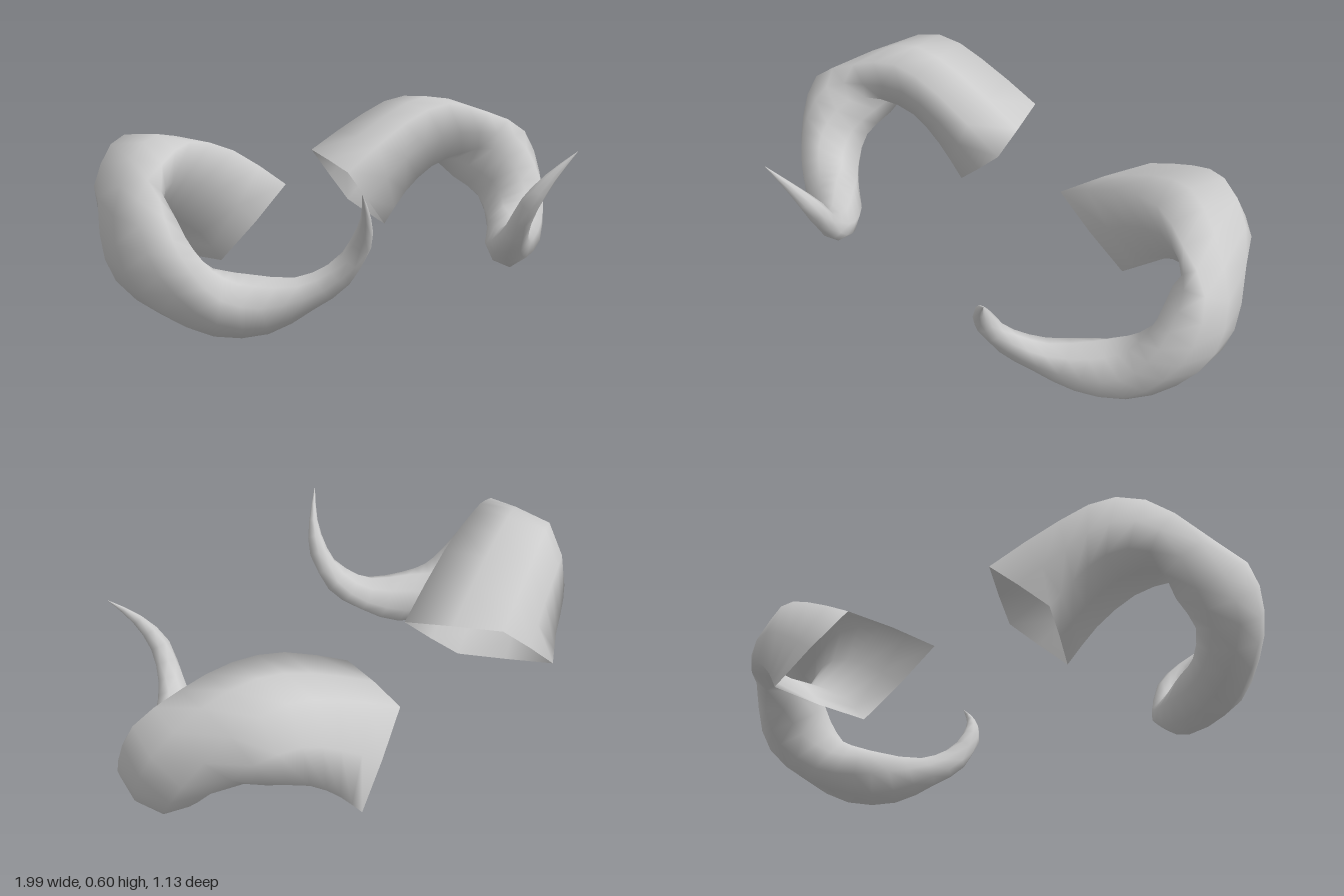
import * as THREE from 'three';

// Sections along the left horn: centre, half width across the coil, half depth out of the bend
const SECTIONS = [
  [[0.348, 0.266, -0.371], [0.065, 0.016, -0.163], [-0.128, 0.12, 0.028]],
  [[0.515, 0.385, -0.335], [0.045, 0, -0.155], [-0.045, 0.145, 0.04]],
  [[0.668, 0.455, -0.30], [0.028, 0, -0.15], [-0.005, 0.138, 0.05]],
  [[0.803, 0.444, -0.225], [0.028, -0.015, -0.148], [0.028, 0.096, 0.052]],
  [[0.875, 0.36, -0.105], [0, -0.085, -0.125], [0.095, 0.035, 0.02]],
  [[0.888, 0.255, -0.015], [-0.01, -0.08, -0.12], [0.1, -0.02, 0]],
  [[0.83, 0.165, 0.065], [-0.04, -0.07, -0.1], [0.08, -0.06, 0]],
  [[0.74, 0.112, 0.135], [-0.06, -0.035, -0.08], [0.04, -0.092, 0.02]],
  [[0.63, 0.10, 0.20], [-0.055, -0.01, -0.07], [-0.02, -0.095, 0.02]],
  [[0.52, 0.13, 0.29], [-0.045, 0, -0.05], [-0.03, -0.055, 0.01]],
  [[0.45, 0.195, 0.375], [-0.03, 0.01, -0.03], [-0.035, -0.035, 0.012]],
  [[0.425, 0.30, 0.447], [0, 0.02, -0.03], [-0.035, 0, 0]],
  [[0.465, 0.40, 0.508], [0, 0.01, -0.016], [-0.016, 0.008, 0]],
  [[0.54, 0.49, 0.565], [0, 0, -0.001], [-0.001, 0, 0]],
];
const SIDES = 8;
const RINGS = 26;

function hornGeometry(side) {
  // Smooth curves through the centres and the two section axes
  const [centres, widths, depths] = [0, 1, 2].map((k) => new THREE.CatmullRomCurve3(
    SECTIONS.map((s) => new THREE.Vector3(...s[k])), false, 'catmullrom'));
  const positions = [];
  const indices = [];

  for (let i = 0; i <= RINGS; i++) {
    const t = i / RINGS;
    const centre = centres.getPoint(t);
    const u = widths.getPoint(t);
    const v = depths.getPoint(t);
    // Square at the root, round from halfway on
    const corner = 1 + 0.41 * (1 - THREE.MathUtils.smoothstep(t, 0, 0.5));
    for (let j = 0; j < SIDES; j++) {
      const a = (j / SIDES) * Math.PI * 2;
      const r = j % 2 ? corner : 1.03;
      const p = centre.clone()
        .addScaledVector(u, Math.cos(a) * r)
        .addScaledVector(v, Math.sin(a) * r);
      positions.push(p.x * side, p.y, p.z);
    }
  }

  // Skin between neighbouring rings; winding is flipped for the mirrored horn
  for (let i = 0; i < RINGS; i++) {
    for (let j = 0; j < SIDES; j++) {
      const a = i * SIDES + j;
      const b = i * SIDES + (j + 1) % SIDES;
      const c = a + SIDES;
      const d = b + SIDES;
      if (side > 0) indices.push(a, b, d, a, d, c);
      else indices.push(a, d, b, a, c, d);
    }
  }

  const geometry = new THREE.BufferGeometry();
  geometry.setAttribute('position', new THREE.Float32BufferAttribute(positions, 3));
  geometry.setIndex(indices);
  geometry.computeVertexNormals();
  return geometry;
}

export function createModel() {
  const model = new THREE.Group();
  model.name = 'hornPair';
  // The root end is open, so the inside is visible
  const material = new THREE.MeshStandardMaterial({ color: 0xcccccc, side: THREE.DoubleSide });
  for (const [name, side] of [['leftHorn', 1], ['rightHorn', -1]]) {
    const horn = new THREE.Mesh(hornGeometry(side), material);
    horn.name = name;
    model.add(horn);
  }
  return model;
}
